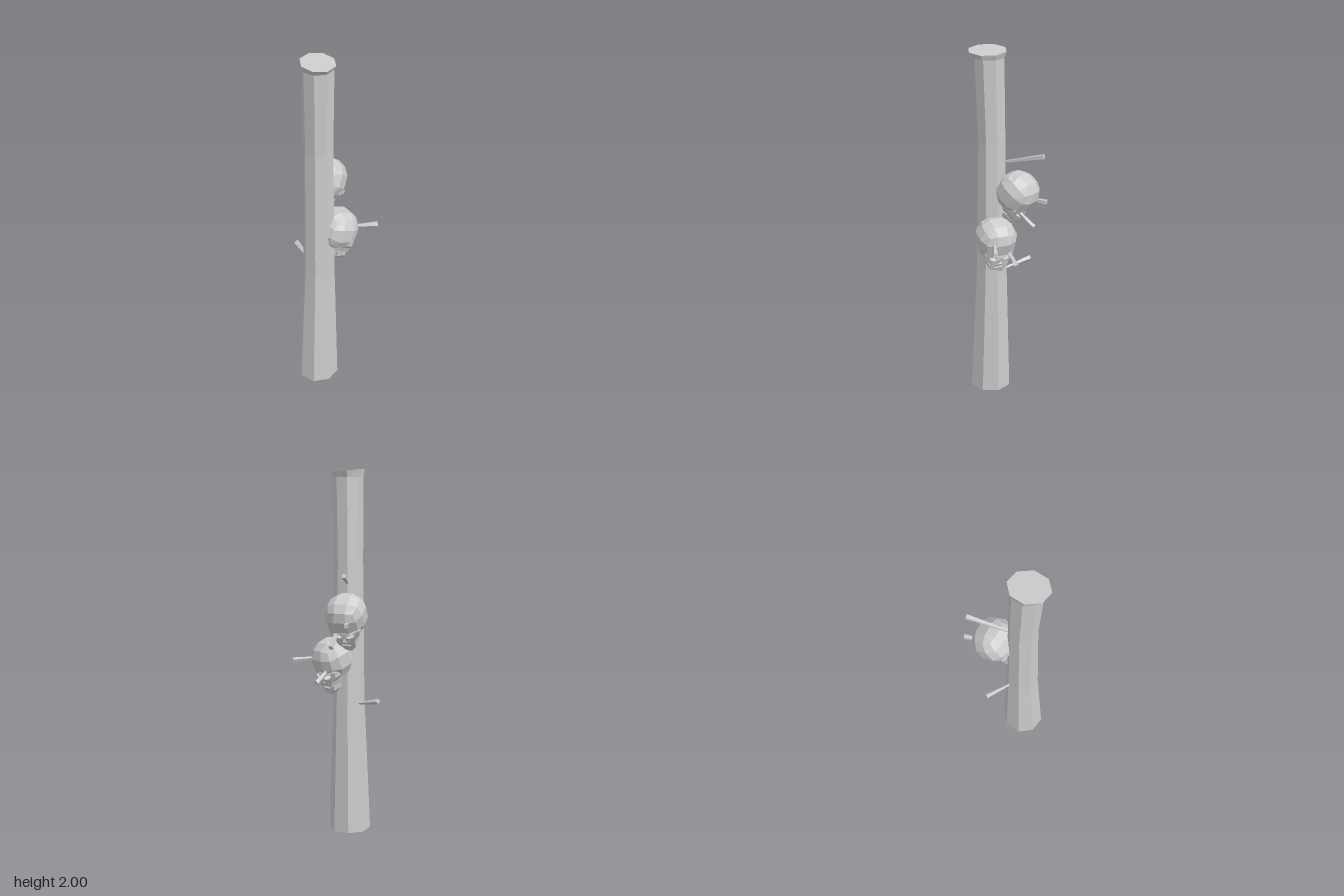
import * as THREE from 'three';

const grey = new THREE.MeshStandardMaterial({ color: 0xcccccc, flatShading: true, side: THREE.DoubleSide });
grey.name = 'pale grey';

function add(parent, geometry, name) {
  const mesh = new THREE.Mesh(geometry, grey);
  mesh.name = name;
  parent.add(mesh);
  return mesh;
}

// Move every vertex by a rule
function bend(geometry, rule) {
  const p = geometry.attributes.position, v = new THREE.Vector3();
  for (let i = 0; i < p.count; i++) {
    rule(v.fromBufferAttribute(p, i));
    p.setXYZ(i, v.x, v.y, v.z);
  }
  geometry.computeVertexNormals();
  return geometry;
}

// Post sections: y, centre x, centre z, radius x, radius z
const sections = [
  [0, -0.065, 0.105, 0.115, 0.12],
  [0.75, -0.058, 0.09, 0.087, 0.09],
  [1.5, -0.057, 0.085, 0.078, 0.077],
  [1.955, -0.052, 0.095, 0.081, 0.083],
  [1.99, -0.05, 0.105, 0.09, 0.105],
];
function toPost(v) {
  const row = Math.round((v.y + 0.5) * 4);
  const [y, cx, cz, rx, rz] = sections[row];
  v.y = y - (row === 4 ? 0.01 * v.x : 0); // slightly slanted top
  v.x = cx + rx * v.x;
  v.z = cz + rz * v.z;
}

// Square spike that widens towards its outer end
function nail(parent, from, to) {
  const a = new THREE.Vector3(...from), b = new THREE.Vector3(...to);
  const dir = b.clone().sub(a);
  const geo = new THREE.CylinderGeometry(0.0155, 0.007, dir.length(), 4);
  geo.rotateY(Math.PI / 4);
  const mesh = add(parent, geo, 'nail');
  mesh.position.copy(a).add(b).multiplyScalar(0.5);
  mesh.quaternion.setFromUnitVectors(new THREE.Vector3(0, 1, 0), dir.normalize());
}

const points = (list) => list.map(([x, y]) => new THREE.Vector2(x, y));

// Curved plate standing in front of the skull core
function plate(outline, holes, depth, z) {
  const shape = new THREE.Shape(points(outline));
  holes.forEach((h) => shape.holes.push(new THREE.Path(points(h))));
  const geo = new THREE.ExtrudeGeometry(shape, { depth, bevelEnabled: false });
  geo.translate(0, 0, z);
  return bend(geo, (v) => { v.z -= 4 * v.x * v.x; });
}

// Skull facing +z, centred on its cranium
function skull(name) {
  const group = new THREE.Group();
  group.name = name;

  // Faceted cranium, cut back behind the face
  const cranium = bend(new THREE.BoxGeometry(2, 2, 2, 3, 3, 3), (v) => {
    v.normalize().multiplyScalar(0.118);
    if (v.y < -0.05 && v.z > 0.03) v.z = 0.045;
  });
  add(group, cranium, 'cranium');

  // Face with eye sockets and nose opening
  const eye = [[0.014, -0.069], [0.022, -0.083], [0.05, -0.078], [0.064, -0.06], [0.045, -0.052]];
  const mirrored = eye.map(([x, y]) => [-x, y]);
  const nose = [[0, -0.084], [0.014, -0.108], [0, -0.103], [-0.014, -0.108]];
  const half = [[0.045, -0.025], [0.085, -0.04], [0.082, -0.075], [0.056, -0.1], [0.045, -0.13]];
  const outline = [...half, ...half.map(([x, y]) => [-x, y]).reverse()];
  add(group, plate(outline, [eye, mirrored, nose], 0.05, 0.052), 'face');

  // Tapered core behind the face
  const core = bend(new THREE.BoxGeometry(0.13, 0.08, 0.07), (v) => {
    if (v.y < 0) v.x *= 0.6;
  });
  core.translate(0, -0.09, 0.025);
  add(group, core, 'skullBase');

  // Lower jaw, left slightly open
  const jaw = [[0.05, -0.128], [0.02, -0.143], [-0.02, -0.143], [-0.05, -0.128],
    [-0.046, -0.155], [-0.024, -0.178], [0.024, -0.178], [0.046, -0.155]];
  add(group, plate(jaw, [], 0.06, 0.03), 'jaw');
  return group;
}

export function createModel() {
  const model = new THREE.Group();
  model.name = 'skullPost';

  // Eight-sided post, open below, flared and closed on top
  const post = new THREE.Group();
  post.name = 'post';
  model.add(post);
  add(post, bend(new THREE.CylinderGeometry(1, 1, 1, 8, 4, true), toPost), 'postShaft');
  const lid = new THREE.CircleGeometry(1, 8).rotateX(-Math.PI / 2).translate(0, 0.5, 0);
  add(post, bend(lid, toPost), 'postTop');

  // Skulls: position, yaw, downward pitch
  const skulls = [
    ['upperSkull', [-0.055, 1.235, -0.065], Math.PI - 0.25, 0.62],
    ['lowerSkull', [0.028, 0.985, 0.03], Math.PI * 0.75, 0.35],
  ];
  for (const [name, position, yaw, pitch] of skulls) {
    const s = skull(name);
    s.position.set(...position);
    s.rotation.set(pitch, yaw, 0, 'YXZ');
    model.add(s);
  }

  // Nails in the post and skulls
  const nails = [
    [[-0.055, 1.395, 0.02], [-0.055, 1.455, -0.21]],
    [[-0.066, 1.205, -0.1], [-0.068, 1.195, -0.225]],
    [[-0.015, 1.165, -0.055], [0.015, 1.075, -0.183]],
    [[0.1, 0.99, 0.01], [0.235, 0.983, -0.053]],
    [[0.04, 0.94, -0.04], [0.1, 0.875, -0.123]],
    [[-0.12, 0.735, 0.03], [-0.228, 0.77, -0.075]],
  ];
  nails.forEach(([from, to]) => nail(model, from, to));
  return model;
}
